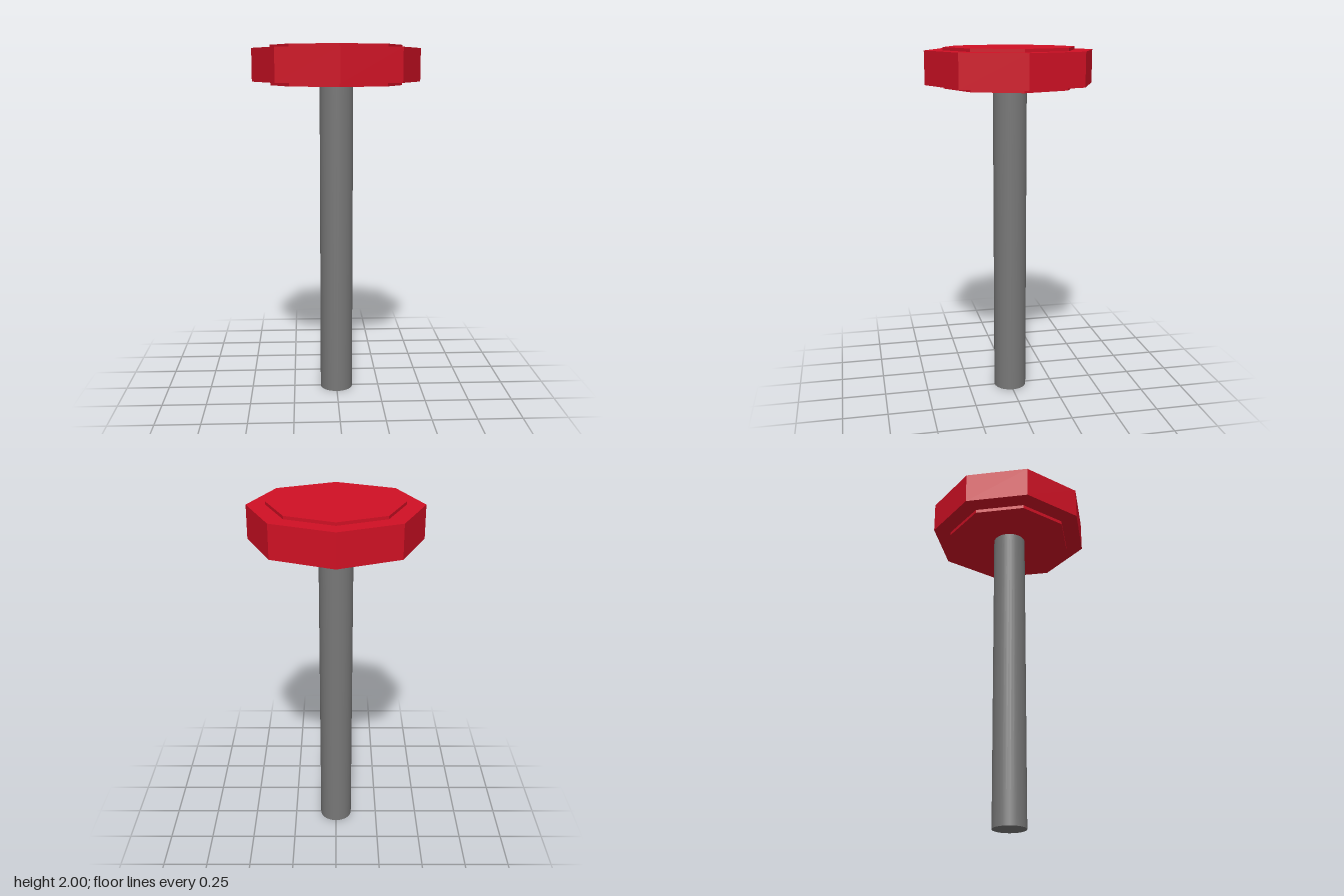
import * as THREE from 'three';

export function createModel() {
  const model = new THREE.Group();
  const red = new THREE.MeshStandardMaterial({ color: 0xd01024, flatShading: true });
  red.name = 'red';
  const grey = new THREE.MeshStandardMaterial({ color: 0x777777 });
  grey.name = 'grey';

  // upright cylinder or prism between two heights
  const addCylinder = (name, radius, bottom, top, sides, material) => {
    const mesh = new THREE.Mesh(
      new THREE.CylinderGeometry(radius, radius, top - bottom, sides), material);
    mesh.name = name;
    mesh.position.y = (bottom + top) / 2;
    model.add(mesh);
  };

  // round post
  addCylinder('post', 0.094, 0, 1.79, 32, grey);
  // octagonal head with a raised plate showing above and below
  addCylinder('head', 0.47, 1.8, 1.983, 8, red);
  addCylinder('raisedPlate', 0.368, 1.78, 2, 8, red);

  return model;
}
